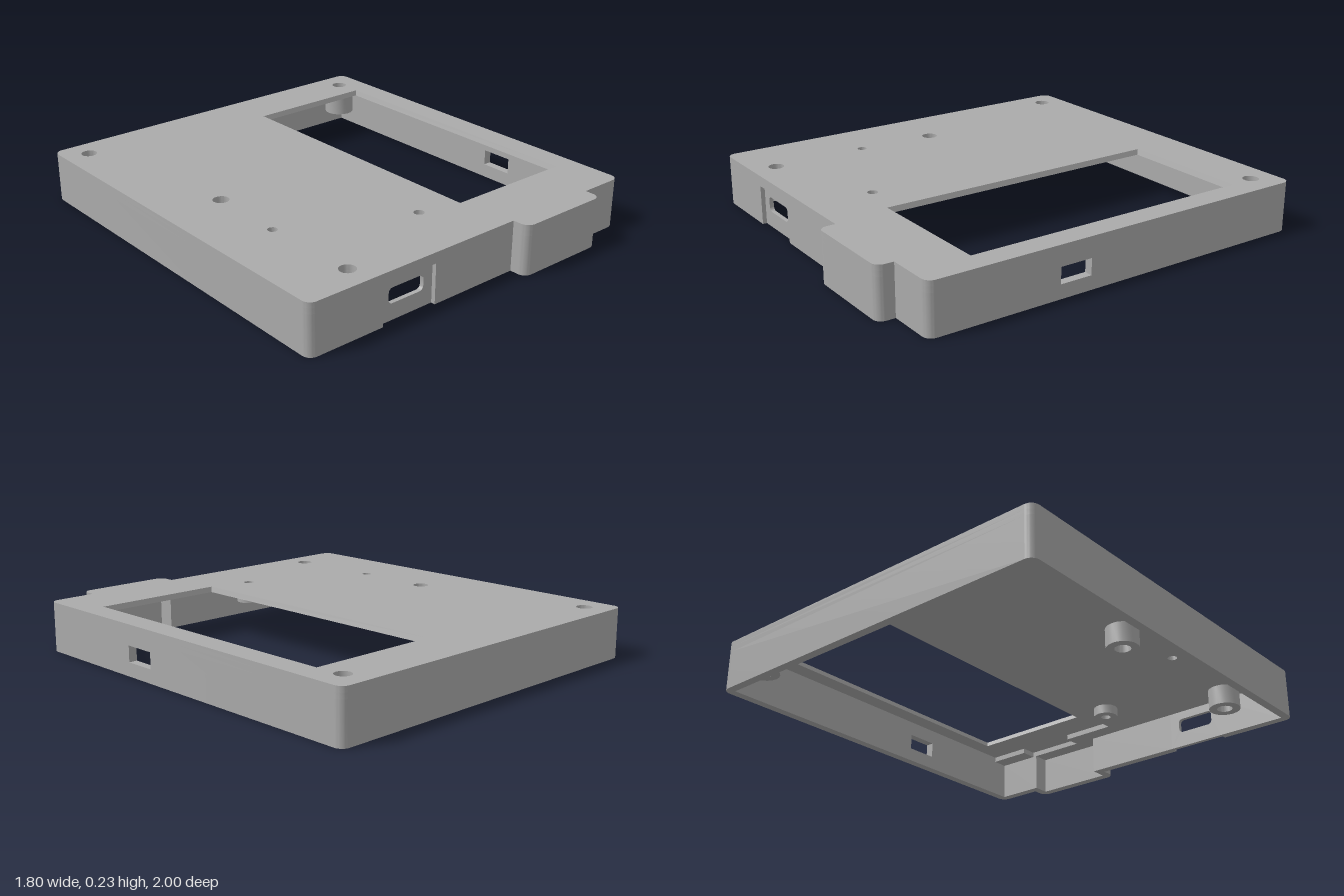
import * as THREE from 'three';
import { toCreasedNormals } from 'three/addons/utils/BufferGeometryUtils.js';

// Polygon of [x, z, cornerRadius] points, traced onto a Shape or Path
function trace(points, path = new THREE.Shape()) {
  const n = points.length;
  points.forEach(([x, z, r = 0], i) => {
    const toward = ([px, pz], d) => {
      const len = Math.hypot(px - x, pz - z);
      return [x + (px - x) * d / len, z + (pz - z) * d / len];
    };
    const prev = points[(i + n - 1) % n], next = points[(i + 1) % n];
    const start = r ? toward(prev, r) : [x, z];
    if (i === 0) path.moveTo(...start); else path.lineTo(...start);
    if (r) path.bezierCurveTo(...toward(prev, r * 0.45), ...toward(next, r * 0.45), ...toward(next, r));
  });
  path.closePath();
  return path;
}

const rect = (x0, x1, z0, z1, r = 0) => [[x0, z0, r], [x1, z0, r], [x1, z1, r], [x0, z1, r]];
const circle = (x, z, r, path = new THREE.Path()) => path.absarc(x, z, r, 0, Math.PI * 2, false);

export function createModel() {
  const model = new THREE.Group();
  model.name = 'enclosureCover';
  const grey = new THREE.MeshStandardMaterial({ color: 0xaaaaaa });
  grey.name = 'grey plastic';

  const add = (name, geometry) => {
    const mesh = new THREE.Mesh(geometry, grey);
    mesh.name = name;
    model.add(mesh);
    return mesh;
  };
  // Plan shape (x, z) made solid between two heights
  const slab = (name, shape, y0, y1) => {
    const g = new THREE.ExtrudeGeometry(shape, { depth: y1 - y0, bevelEnabled: false, curveSegments: 10 });
    g.rotateX(Math.PI / 2).translate(0, y1, 0);
    return add(name, toCreasedNormals(g, 0.6));
  };

  const TOP = 0.235, SKIN = 0.21, CEILING = 0.185, R = 0.04;
  const outline = [
    [-0.9, -1, R], [0.9, -1, R], [0.9, 0.92, R], [0.67, 0.92],
    [0.67, 1, R], [0.2, 1, R], [0.2, 0.92], [-0.9, 0.92, R],
  ];
  // Screw holes: x, z, hole radius, boss radius, boss bottom
  const screws = [
    [-0.78, -0.88, 0.037, 0.075, 0.09], [0.775, -0.88, 0.037, 0.075, 0.09],
    [-0.61, -0.04, 0.037, 0.075, 0.09], [-0.61, 0.8, 0.037, 0.075, 0.09],
    [-0.045, 0.607, 0.024, 0.058, 0.14], [-0.62, 0.34, 0.022, 0, 0],
  ];
  const drill = (shape) => screws.forEach(([x, z, r]) => shape.holes.push(circle(x, z, r)));

  // Top skin with the display window
  const win = { x0: 0.157, x1: 0.787, z0: -0.752, z1: 0.652 };
  const skin = trace(outline);
  skin.holes.push(trace(rect(win.x0, win.x1, win.z0, win.z1), new THREE.Path()));
  drill(skin);
  slab('topPlate', skin, SKIN, TOP);

  // Sloping lip inside the window, built from three rectangular loops
  const loops = [[TOP, 0], [SKIN, 0.008], [SKIN, 0]].map(([y, d]) =>
    rect(win.x0 + d, win.x1 - d, win.z0 + d, win.z1 - d).map(([x, z]) => [x, y, z]));
  const lip = [];
  for (let k = 0; k < 2; k++) {
    for (let i = 0; i < 4; i++) {
      const j = (i + 1) % 4;
      const a = loops[k][i], b = loops[k][j], c = loops[k + 1][j], d = loops[k + 1][i];
      lip.push(...a, ...d, ...b, ...b, ...d, ...c);
    }
  }
  const lipGeometry = new THREE.BufferGeometry();
  lipGeometry.setAttribute('position', new THREE.Float32BufferAttribute(lip, 3));
  lipGeometry.computeVertexNormals();
  add('windowLip', lipGeometry);

  // Lower ceiling layer, cut away for the display and its cable channel
  const ceiling = trace(outline);
  ceiling.holes.push(trace([
    [0.08, -0.85], [0.86, -0.85], [0.86, 0.8], [0.65, 0.8],
    [0.65, 0.88], [0.35, 0.88], [0.35, 0.8], [0.08, 0.8],
  ], new THREE.Path()));
  drill(ceiling);
  slab('ceilingLayer', ceiling, SKIN - (SKIN - CEILING), SKIN);

  // Side walls, left open at the two ports
  slab('mainWall', trace([
    [-0.53, 0.92], [-0.9, 0.92, R], [-0.9, -1, R], [0.9, -1, R], [0.9, 0.145],
    [0.86, 0.145], [0.86, -0.96], [-0.86, -0.96], [-0.86, 0.88], [-0.53, 0.88],
  ]), 0, CEILING);
  slab('frontTabWall', trace([
    [0.9, 0.3], [0.9, 0.92, R], [0.67, 0.92], [0.67, 1, R], [0.2, 1, R], [0.2, 0.92], [-0.25, 0.92],
    [-0.25, 0.88], [0.24, 0.88], [0.24, 0.96], [0.63, 0.96], [0.63, 0.88], [0.86, 0.88], [0.86, 0.3],
  ]), 0, CEILING);

  // Wall above and below the side port
  const sideBar = trace(rect(0.86, 0.9, 0.145, 0.3));
  slab('sidePortSill', sideBar, 0, 0.065);
  slab('sidePortLintel', sideBar, 0.14, CEILING);

  // Recessed front panel with a rounded port
  const panel = trace(rect(-0.53, -0.25, 0, CEILING));
  panel.holes.push(trace(rect(-0.485, -0.298, 0.075, 0.145, 0.02), new THREE.Path()));
  const panelGeometry = new THREE.ExtrudeGeometry(panel, { depth: 0.02, bevelEnabled: false, curveSegments: 8 });
  add('frontPortPanel', toCreasedNormals(panelGeometry, 0.6)).position.z = 0.88;

  // Screw bosses hanging from the ceiling
  for (const [x, z, hole, radius, bottom] of screws) {
    if (!radius) continue;
    const ring = circle(x, z, radius, new THREE.Shape());
    ring.holes.push(circle(x, z, hole));
    slab('screwBoss', ring, bottom, CEILING);
  }
  return model;
}
